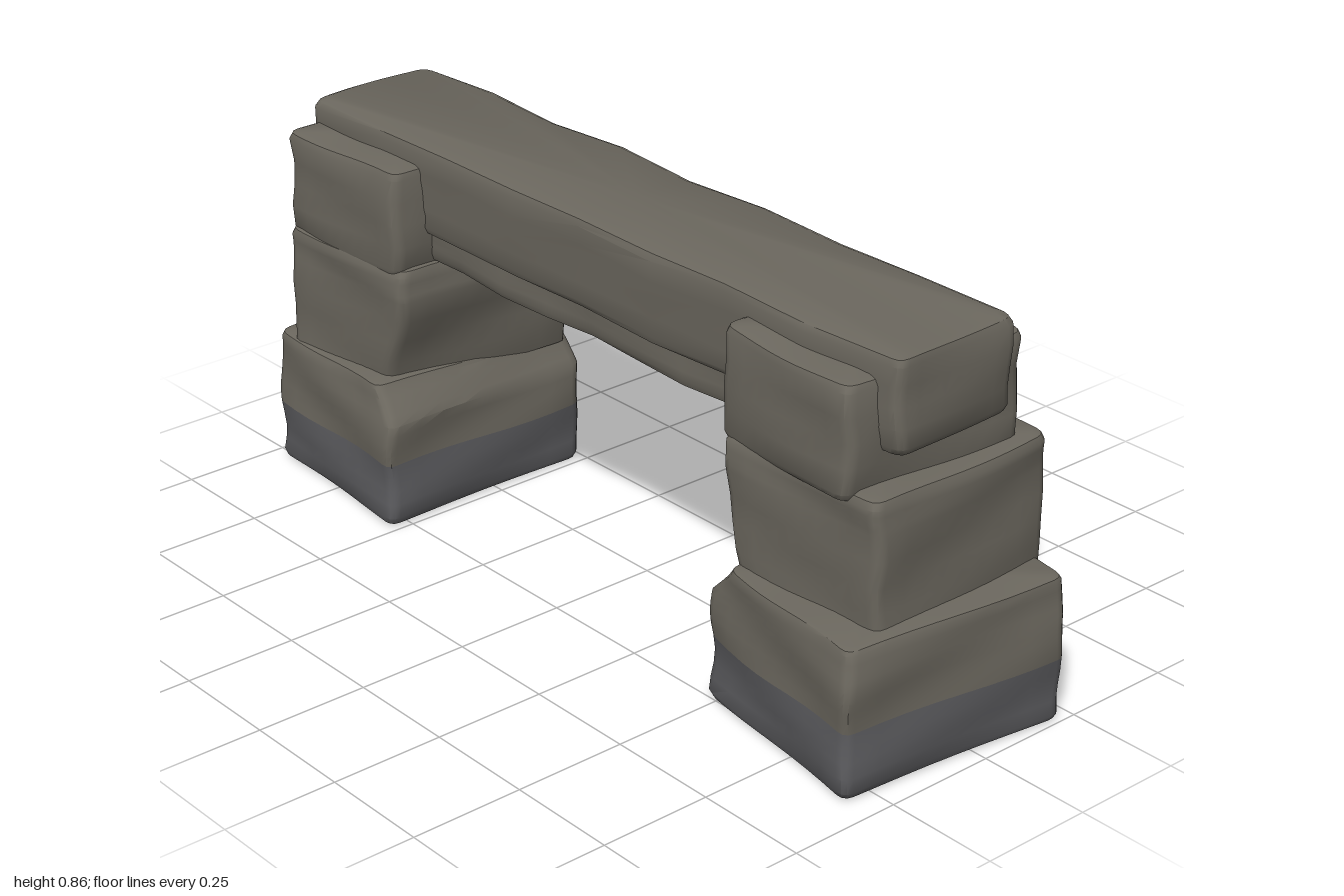
import * as THREE from 'three';
import { toCreasedNormals } from 'three/addons/utils/BufferGeometryUtils.js';

const stone = new THREE.MeshStandardMaterial({ color: 0x6b675e });
const dampStone = new THREE.MeshStandardMaterial({ color: 0x5b5b5e });

// Gentle, repeatable weathering of a surface point
function weather(x, y, z) {
  const a = 0.004;
  return [
    x + a * Math.sin(31 * y + 9 * z + 4 * x),
    y > 0.02 ? y + a * Math.sin(13 * x + 11 * z) : y,
    z + a * Math.sin(37 * y + 12 * x + 1),
  ];
}

// Footprint with rounded corners and subdivided edges; corners run
// back-left, back-right, front-right, front-left as [x, z]
function outline(corners, r = 0.025, steps = 8) {
  const p = corners.map(([x, z]) => new THREE.Vector2(x, z));
  const arcs = p.map((c, i) => {
    const toward = (q) => c.clone().add(q.clone().sub(c).setLength(r));
    return new THREE.QuadraticBezierCurve(toward(p[(i + 3) % 4]), c, toward(p[(i + 1) % 4])).getPoints(3);
  });
  const points = [];
  arcs.forEach((arc, i) => {
    points.push(...arc);
    const next = arcs[(i + 1) % 4][0];
    for (let s = 1; s < steps; s++) points.push(arc[3].clone().lerp(next, s / steps));
  });
  return points;
}

function inset(corners, d) {
  const cx = corners.reduce((s, c) => s + c[0], 0) / 4;
  const cz = corners.reduce((s, c) => s + c[1], 0) / 4;
  return corners.map(([x, z]) => [x - Math.sign(x - cx) * d, z - Math.sign(z - cz) * d]);
}

// Stone lofted through layers [y, corners], with worn bottom and top edges
function block(name, layers, { bottom = 0.02, top = 0.02, material = stone } = {}) {
  const rings = [];
  const first = layers[0], last = layers[layers.length - 1];
  const add = (y, corners) => rings.push({ y, points: outline(corners) });
  if (bottom) {
    add(first[0], inset(first[1], bottom));
    add(first[0] + bottom * 0.3, inset(first[1], bottom * 0.3));
  }
  for (let i = 0; i < layers.length - 1; i++) {
    const y0 = layers[i][0] + (i === 0 ? bottom : 0);
    const y1 = layers[i + 1][0] - (i === layers.length - 2 ? top : 0);
    for (let s = i ? 1 : 0; s <= 4; s++) {
      const t = s / 4;
      add(y0 + (y1 - y0) * t, layers[i][1].map((c, k) => c.map((v, j) => v + (layers[i + 1][1][k][j] - v) * t)));
    }
  }
  if (top) {
    add(last[0] - top * 0.3, inset(last[1], top * 0.3));
    add(last[0], inset(last[1], top));
  }
  const n = rings[0].points.length, position = [], index = [];
  for (const { y, points } of rings) for (const q of points) position.push(...weather(q.x, y, q.y));
  for (let i = 0; i < rings.length - 1; i++) {
    for (let j = 0; j < n; j++) {
      const a = i * n + j, b = i * n + (j + 1) % n;
      index.push(a, a + n, b, b, a + n, b + n);
    }
  }
  // End caps
  for (const isTop of [false, true]) {
    const ring = isTop ? rings.length - 1 : 0, centre = position.length / 3;
    const mid = rings[ring].points.reduce((s, q) => s.add(q), new THREE.Vector2()).divideScalar(n);
    position.push(mid.x, rings[ring].y, mid.y);
    for (let j = 0; j < n; j++) {
      const a = ring * n + j, b = ring * n + (j + 1) % n;
      index.push(centre, ...(isTop ? [b, a] : [a, b]));
    }
  }
  const geometry = new THREE.BufferGeometry();
  geometry.setAttribute('position', new THREE.Float32BufferAttribute(position, 3));
  geometry.setIndex(index);
  const mesh = new THREE.Mesh(toCreasedNormals(geometry, 0.65), material);
  mesh.name = name;
  return mesh;
}

// Pillar of three stones; the base has a damp lower band and a sloped inner edge
function pillar(name, { base, baseTop, midBottom, mid, cap }) {
  const group = new THREE.Group();
  group.name = name;
  group.add(
    block('baseBand', [[0.005, base], [0.15, base]], { top: 0, material: dampStone }),
    block('baseStone', [[0.15, base], [0.245, base], [0.325, baseTop]], { bottom: 0, top: 0.012 }),
    block('middleStone', [[0.3, midBottom], [0.52, mid], [0.595, mid]], { bottom: 0 }),
    block('upperStone', [[0.57, cap], [0.815, cap]]),
  );
  return group;
}

export function createModel() {
  const model = new THREE.Group();
  model.name = 'stoneGateway';

  model.add(pillar('rightPillar', {
    base: [[-1, -0.26], [-0.51, -0.24], [-0.51, 0.3], [-0.97, 0.27]],
    baseTop: [[-0.99, -0.255], [-0.55, -0.23], [-0.56, 0.29], [-0.965, 0.265]],
    midBottom: [[-0.945, -0.18], [-0.53, -0.22], [-0.59, 0.24], [-0.91, 0.265]],
    mid: [[-0.945, -0.18], [-0.51, -0.23], [-0.515, 0.245], [-0.91, 0.265]],
    cap: [[-0.89, -0.21], [-0.52, -0.17], [-0.53, 0.25], [-0.915, 0.25]],
  }));
  model.add(pillar('leftPillar', {
    base: [[0.53, -0.265], [0.995, -0.22], [0.94, 0.325], [0.475, 0.25]],
    baseTop: [[0.57, -0.25], [0.985, -0.22], [0.935, 0.32], [0.53, 0.255]],
    midBottom: [[0.54, -0.24], [0.9, -0.245], [0.915, 0.225], [0.53, 0.23]],
    mid: [[0.52, -0.25], [0.9, -0.245], [0.915, 0.23], [0.49, 0.235]],
    cap: [[0.49, -0.23], [0.87, -0.19], [0.85, 0.25], [0.48, 0.23]],
  }));

  // Lintel with a slightly recessed beam beneath it
  model.add(block('lintel', [
    [0.66, [[-0.945, -0.155], [0.89, -0.145], [0.905, 0.175], [-0.92, 0.17]]],
    [0.865, [[-0.945, -0.155], [0.89, -0.145], [0.905, 0.18], [-0.92, 0.175]]],
  ]));
  const under = [[-0.6, -0.125], [0.6, -0.125], [0.6, 0.155], [-0.6, 0.155]];
  model.add(block('underBeam', [[0.59, under], [0.68, under]], { top: 0 }));

  // Small rounded knob on the back of the left base, narrowing towards the stone
  const knobGeometry = new THREE.SphereGeometry(1, 20, 14);
  const p = knobGeometry.attributes.position;
  for (let i = 0; i < p.count; i++) {
    const k = 1 - 0.3 * p.getZ(i);
    p.setXYZ(i, p.getX(i) * 0.055 * k, p.getY(i) * 0.036 * k, p.getZ(i) * 0.06);
  }
  knobGeometry.computeVertexNormals();
  const knob = new THREE.Mesh(knobGeometry, dampStone);
  knob.name = 'knob';
  knob.position.set(0.845, 0.122, -0.272);
  model.add(knob);

  return model;
}
